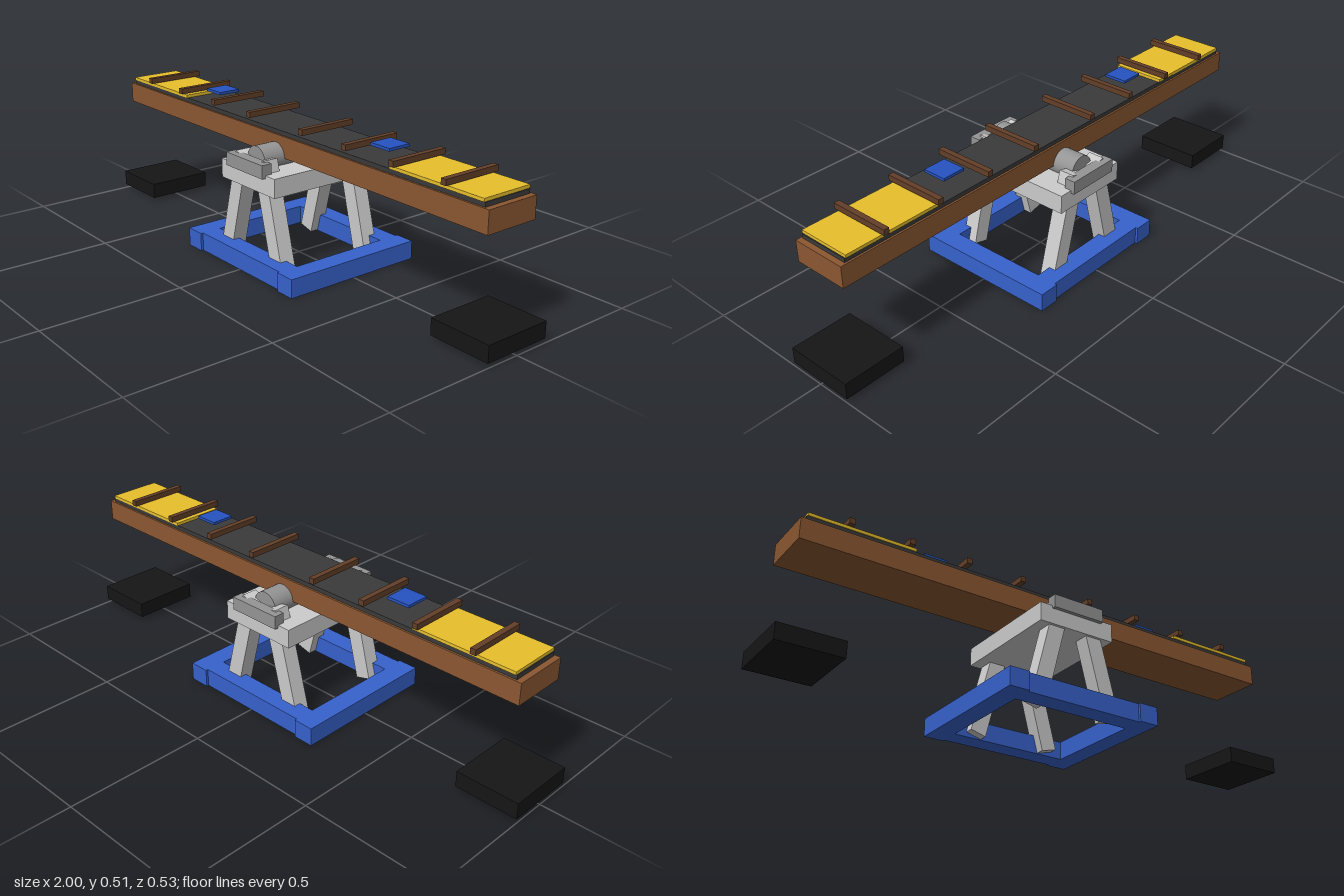
import * as THREE from 'three';

const mat = (color) => new THREE.MeshStandardMaterial({ color });
const M = {
  grey: mat(0xcccccc), darkGrey: mat(0x959595), blue: mat(0x3762cc), padBlue: mat(0x2653c0),
  wood: mat(0x8b5731), slat: mat(0x633f28), mat: mat(0x3a3a3a), yellow: mat(0xe8c02c), black: mat(0x161616),
};

export function createModel() {
  const model = new THREE.Group();
  model.name = 'seesaw';

  // Box given by its extents along each axis
  const box = (name, material, [x0, x1], [y0, y1], [z0, z1]) => {
    const mesh = new THREE.Mesh(new THREE.BoxGeometry(x1 - x0, y1 - y0, z1 - z0), material);
    mesh.position.set((x0 + x1) / 2, (y0 + y1) / 2, (z0 + z1) / 2);
    mesh.name = name;
    model.add(mesh);
    return mesh;
  };
  // Extents mirrored to one side of zero
  const side = (s, a, b) => (s > 0 ? [a, b] : [-b, -a]);

  // Sloping leg between two points in the x-y plane
  const leg = (sx, sz) => {
    const bottom = new THREE.Vector2(sx * 0.148, 0.01);
    const top = new THREE.Vector2(sx * 0.049, 0.39);
    const d = top.clone().sub(bottom);
    const mesh = new THREE.Mesh(new THREE.BoxGeometry(0.06, d.length(), 0.057), M.grey);
    mesh.position.set((bottom.x + top.x) / 2, (bottom.y + top.y) / 2, sz * 0.1815);
    mesh.rotation.z = Math.atan2(-d.x, d.y);
    mesh.name = 'supportLeg';
    model.add(mesh);
  };

  for (const s of [-1, 1]) {
    // Base frame
    box('baseSideRail', M.blue, side(s, 0.222, 0.296), [0, 0.066], [-0.267, 0.267]);
    box('baseCrossRail', M.blue, [-0.222, 0.222], [0, 0.066], side(s, 0.185, 0.258));
    // Legs and bearing blocks
    leg(s, 1);
    leg(s, -1);
    box('bearingBlock', M.darkGrey, [-0.1, 0.1], [0.345, 0.392], side(s, 0.195, 0.234));
    // Landing blocks under the plank ends
    box('landingBlock', M.black, side(s, 0.775, 1), [0.015, 0.072], [-0.124, 0.124]);
    // End panels and centre pads on the plank
    box('endPanel', M.yellow, side(s, 0.55, 0.927), [0.468, 0.479], [-0.096, 0.096]);
    box('markerPad', M.padBlue, side(s, 0.408, 0.494), [0.498, 0.508], [-0.043, 0.043]);
    // Cross slats
    for (const x of [0.143, 0.358, 0.572, 0.786]) {
      box('crossSlat', M.slat, [s * x - 0.01, s * x + 0.01], [0.482, 0.502], [-0.11, 0.11]);
    }
  }

  // Support plate and axle
  box('supportPlate', M.grey, [-0.148, 0.148], [0.288, 0.355], [-0.22, 0.22]);
  const axle = new THREE.Mesh(new THREE.CylinderGeometry(0.048, 0.048, 0.364, 32), M.darkGrey);
  axle.rotation.x = Math.PI / 2;
  axle.position.y = 0.378;
  axle.name = 'axle';
  model.add(axle);

  // Plank and its walking surface
  box('plank', M.wood, [-0.95, 0.95], [0.378, 0.453], [-0.1, 0.1]);
  box('gripMat', M.mat, [-0.93, 0.93], [0.453, 0.468], [-0.093, 0.093]);

  return model;
}
